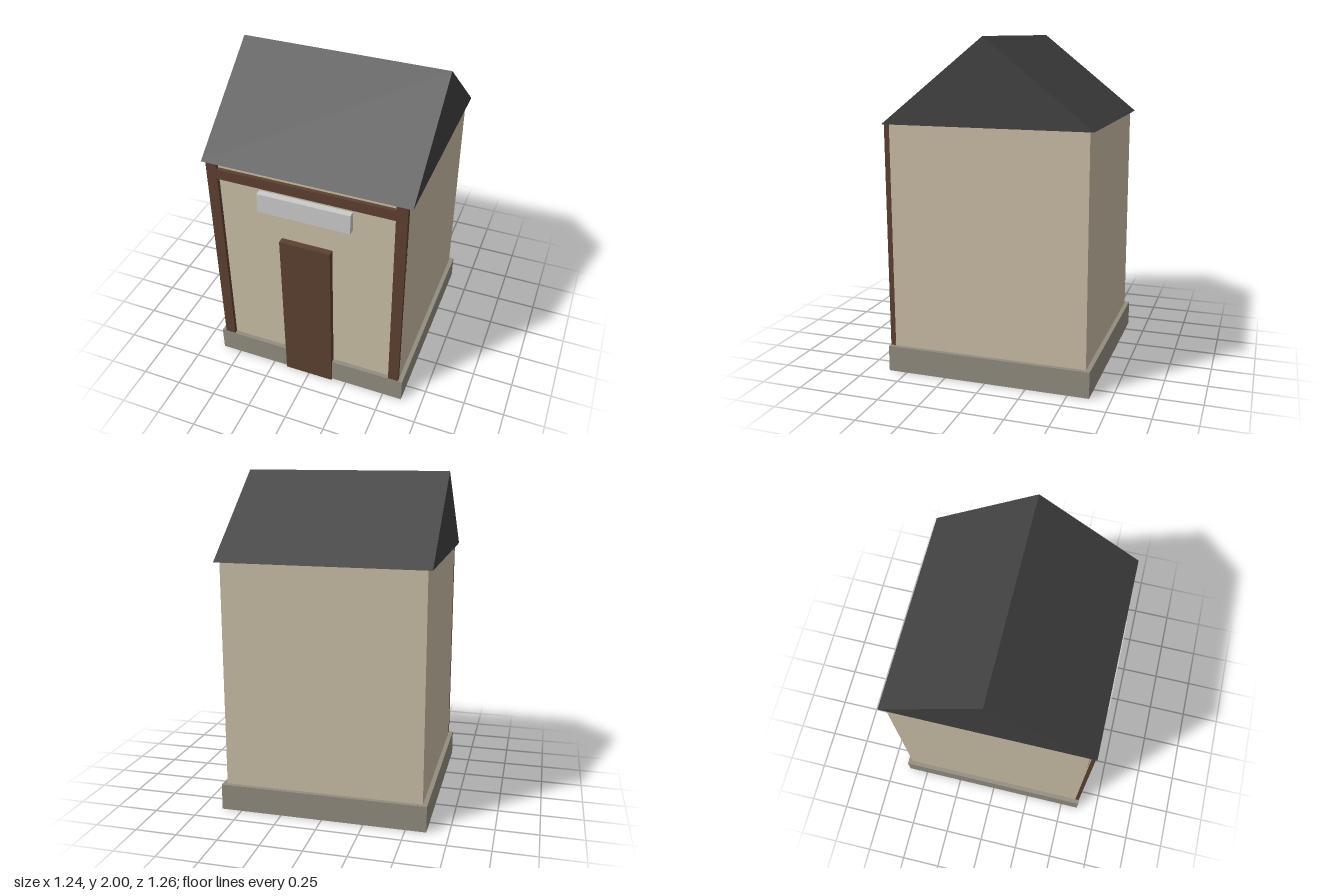
import * as THREE from 'three';

const paint = (name, color) => {
  const m = new THREE.MeshStandardMaterial({ color });
  m.name = name;
  return m;
};

export function createModel() {
  const group = new THREE.Group();
  const plaster = paint('plaster', 0xc9bda5);
  const stone = paint('stone', 0x928c7f);
  const wood = paint('darkWood', 0x5c4030);
  const slate = paint('slate', 0x404040);
  const signGrey = paint('signGrey', 0xcacaca);

  // Box given by its lower and upper bounds
  const box = (name, mat, x0, x1, y0, y1, z0, z1) => {
    const geo = new THREE.BoxGeometry(x1 - x0, y1 - y0, z1 - z0);
    const mesh = new THREE.Mesh(geo, mat);
    mesh.name = name;
    mesh.position.set((x0 + x1) / 2, (y0 + y1) / 2, (z0 + z1) / 2);
    group.add(mesh);
  };

  // Plinth and walls
  box('foundation', stone, -0.622, 0.622, 0, 0.157, -0.628, 0.615);
  box('walls', plaster, -0.595, 0.595, 0.1, 1.505, -0.601, 0.588);

  // Timber frame on the front
  for (const [side, x] of [['right', -0.5625], ['left', 0.5625]]) {
    box(side + 'Post', wood, x - 0.0325, x + 0.0325, 0.15, 1.505, 0.58, 0.612);
  }
  box('crossBeam', wood, -0.53, 0.53, 1.405, 1.47, 0.58, 0.611);

  // Door and blank sign board
  box('door', wood, -0.157, 0.157, 0, 1.065, 0.58, 0.628);
  box('signBoard', signGrey, -0.28, 0.28, 1.252, 1.377, 0.58, 0.628);

  // Gabled roof: triangular prism with its ridge along x
  const gable = new THREE.Shape([
    new THREE.Vector2(-0.615, 1.505),
    new THREE.Vector2(0.628, 1.505),
    new THREE.Vector2(0.0065, 2),
  ]);
  const roofGeo = new THREE.ExtrudeGeometry(gable, { depth: 1.244, bevelEnabled: false });
  roofGeo.translate(0, 0, -0.622).rotateY(Math.PI / 2);
  const roof = new THREE.Mesh(roofGeo, slate);
  roof.name = 'roof';
  group.add(roof);

  return group;
}
